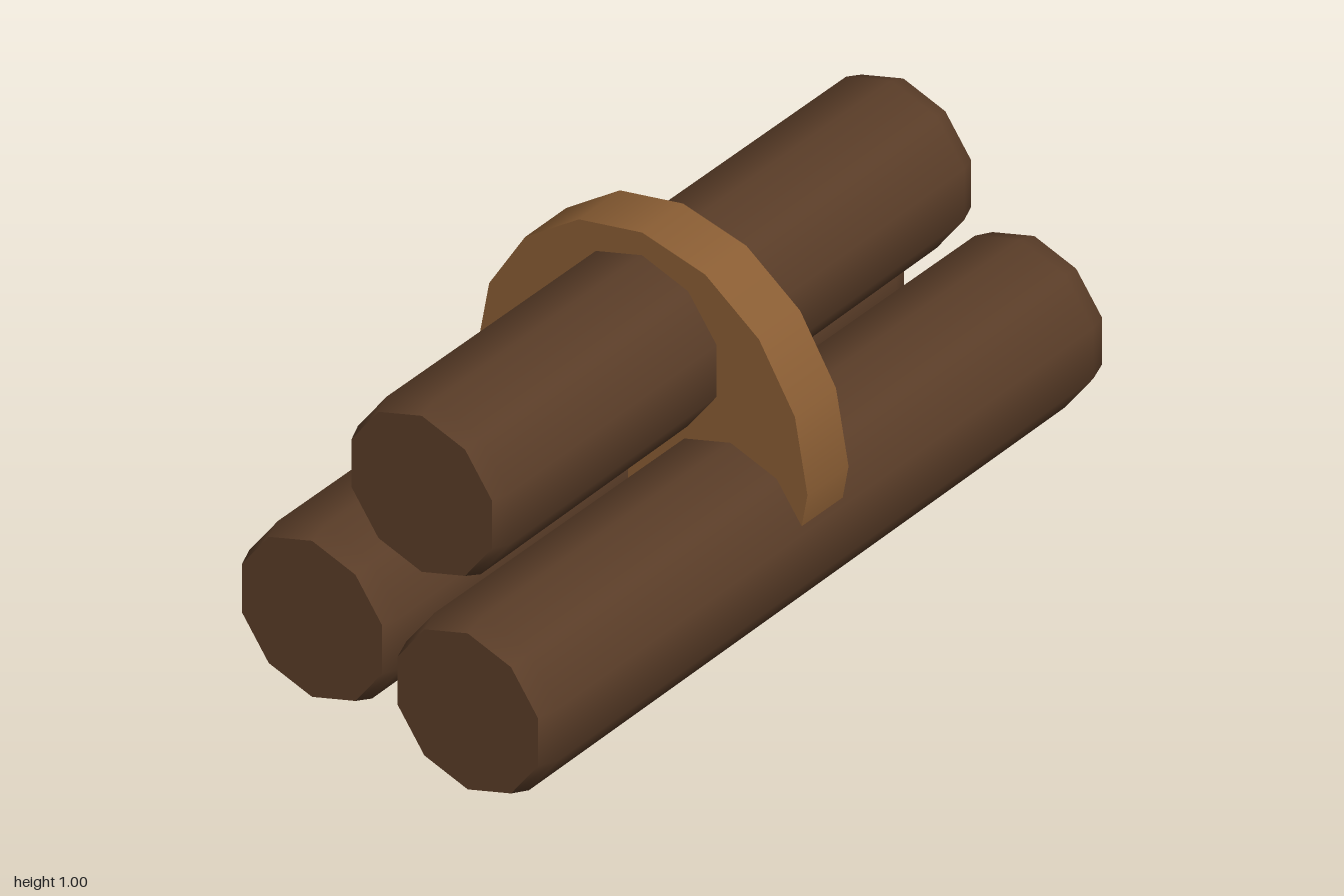
import * as THREE from 'three';

const wood = new THREE.MeshStandardMaterial({ color: 0x5a3d28 });
wood.name = 'dark wood';
const leather = new THREE.MeshStandardMaterial({ color: 0x8b5e34 });
leather.name = 'tan binding';

const SIDES = 10;

// A slightly tapered log along x with bevelled ends, one edge pointing up
function makeLog(name, half, y, z) {
  const log = new THREE.Group();
  log.name = name;
  const bevel = half * 0.05;
  const leftEnd = 0.205, rightEnd = 0.198;
  const profile = [
    [leftEnd, -half],
    [0.222, -half + bevel],
    [0.214, half - bevel],
    [rightEnd, half],
  ].map(([r, x]) => new THREE.Vector2(r, x));

  const barkGeometry = new THREE.LatheGeometry(profile, SIDES);
  barkGeometry.rotateY(Math.PI / 2).rotateZ(-Math.PI / 2);
  const bark = new THREE.Mesh(barkGeometry, wood);
  bark.name = 'bark';
  log.add(bark);

  // Flat cut faces
  for (const [side, radius] of [[-1, leftEnd], [1, rightEnd]]) {
    const cutGeometry = new THREE.CircleGeometry(radius, SIDES, Math.PI / 2);
    cutGeometry.rotateY(side * Math.PI / 2);
    const cut = new THREE.Mesh(cutGeometry, wood);
    cut.name = side < 0 ? 'rightCutFace' : 'leftCutFace';
    cut.position.x = side * half;
    log.add(cut);
  }
  log.position.set(0, y, z);
  return log;
}

export function createModel() {
  const model = new THREE.Group();
  model.name = 'logBundle';

  model.add(
    makeLog('frontLog', 1, 0.331, 0.246),
    makeLog('backLog', 0.925, 0.331, -0.246),
    makeLog('topLog', 0.85, 0.722, 0),
  );

  // Solid oval band around the middle
  const bandGeometry = new THREE.CylinderGeometry(1, 1, 0.145, 16);
  bandGeometry.rotateZ(-Math.PI / 2).scale(1, 0.5, 0.46);
  const band = new THREE.Mesh(bandGeometry, leather);
  band.name = 'bindingBand';
  band.position.y = 0.5;
  model.add(band);

  return model;
}
